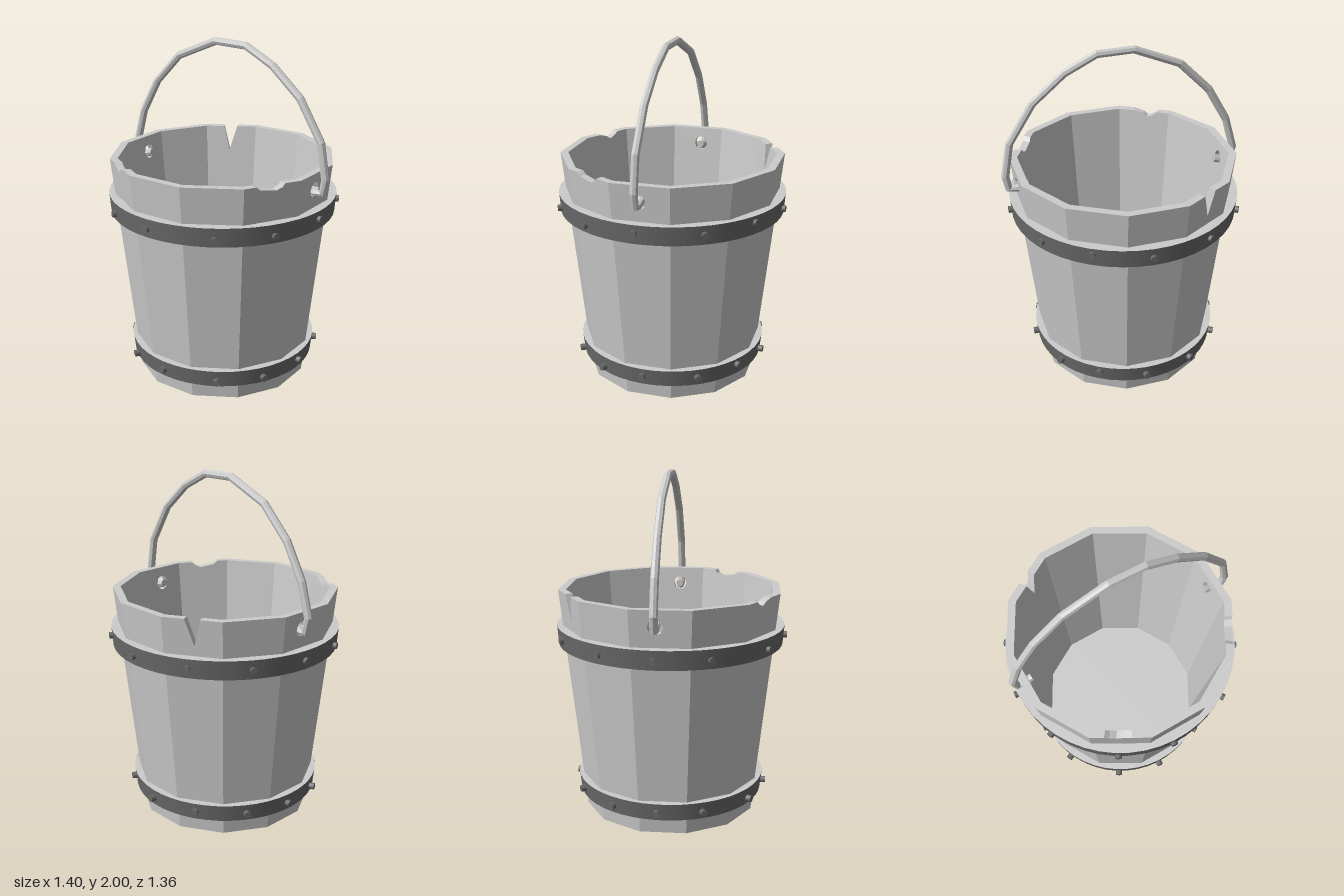
import * as THREE from 'three';

const H = 1.33, SIDES = 12, WALL = 0.045;
const wood = new THREE.MeshStandardMaterial({ color: 0xcccccc, flatShading: true });
const edge = new THREE.MeshStandardMaterial({ color: 0xcccccc });
const iron = new THREE.MeshStandardMaterial({ color: 0x6a6a6a });
const rad = THREE.MathUtils.degToRad;
const outerR = (y) => 0.511 + 0.144 * y / H;

function add(parent, name, geometry, material) {
  const mesh = new THREE.Mesh(geometry, material);
  mesh.name = name;
  parent.add(mesh);
  return mesh;
}

// Corner k of the twelve-sided wall, as a unit direction
function corner(k) {
  const a = rad(12 + 30 * k);
  return new THREE.Vector3(Math.sin(a), 0, -Math.cos(a));
}

// One flat stave: a unit shape with chips and hole, bent onto the tapered wall
function staveGeometry(k, chip = [], holeU = null) {
  const outline = [[0, 0], [1, 0], [1, 1], ...chip, [0, 1]];
  const shape = new THREE.Shape(outline.map(([u, v]) => new THREE.Vector2(u, v)));
  if (holeU !== null) {
    const hole = new THREE.Path();
    hole.absellipse(holeU, 0.928, 0.13, 0.033, 0, Math.PI * 2, true);
    shape.holes.push(hole);
  }
  const flat = new THREE.ExtrudeGeometry(shape, { depth: 1, bevelEnabled: false, curveSegments: 4 });
  const src = flat.toNonIndexed ? (flat.index ? flat.toNonIndexed() : flat) : flat;
  const p = src.attributes.position, a = corner(k), b = corner(k + 1), out = [];
  for (let i = 0; i < p.count; i += 3) {
    const us = [0, 1, 2].map((j) => p.getX(i + j));
    // Skip the joints between neighbouring staves
    if (us.every((u) => u < 1e-6) || us.every((u) => u > 1 - 1e-6)) continue;
    for (let j = i; j < i + 3; j++) {
      const y = p.getY(j) * H;
      const q = a.clone().lerp(b, p.getX(j)).multiplyScalar(outerR(y) - WALL * p.getZ(j));
      out.push(q.x, y, q.z);
    }
  }
  const g = new THREE.BufferGeometry();
  g.setAttribute('position', new THREE.Float32BufferAttribute(out, 3));
  g.computeVertexNormals();
  return g;
}

function lathe(...points) {
  return new THREE.LatheGeometry(points.map(([r, y]) => new THREE.Vector2(r, y)), 48);
}

// Straight-sided path with mitred corners at each point
class BentWire extends THREE.Curve {
  constructor(points) {
    super();
    this.points = points;
  }
  getPoint(t, target = new THREE.Vector3()) {
    const n = this.points.length - 1, s = THREE.MathUtils.clamp(t, 0, 1) * n;
    const i = Math.min(Math.floor(s), n - 1);
    return target.lerpVectors(this.points[i], this.points[i + 1], s - i);
  }
  getPointAt(t, target) { return this.getPoint(t, target); }
  getTangentAt(t, target) { return this.getTangent(t, target); }
}

export function createModel() {
  const model = new THREE.Group();
  model.name = 'bucket';
  const body = new THREE.Group();
  body.name = 'body';
  body.position.x = -0.012;
  model.add(body);

  // Staves, some chipped at the rim, two pierced for the handle
  const chips = {
    3: [[0.8, 1], [0.72, 0.985], [0.44, 0.974], [0.33, 0.985], [0.29, 1]],
    6: [[0.76, 1], [0.68, 0.985], [0.56, 0.974], [0.48, 0.988], [0.31, 1]],
    10: [[0.62, 1], [0.47, 0.885], [0.36, 1]],
  };
  const holes = { 2: 0.53, 8: 0.58 };
  for (let k = 0; k < SIDES; k++) {
    add(body, 'stave' + (k + 1), staveGeometry(k, chips[k], holes[k] ?? null), wood);
  }

  // Bottom board
  const floorH = 0.13;
  const floor = add(body, 'floor',
    new THREE.CylinderGeometry(outerR(floorH) - WALL, outerR(0) - 0.002, floorH, SIDES), wood);
  floor.position.y = floorH / 2;
  floor.rotation.y = rad(-12);

  // Hoops with a ring of rivets each
  const rivetAngles = [-1, 27, 55.5, 90, 118, 153, 180, -152, -121.5, -90, -61.5, -34];
  const lifts = [0.01, -0.01, -0.01, 0, -0.01, -0.005, 0, 0, 0.005, 0, 0.02, 0.005];
  const hoops = [
    { name: 'upperHoop', y0: 1.01, y1: 1.12, r0: 0.658, r1: 0.667, tip: 0.682 },
    { name: 'lowerHoop', y0: 0.10, y1: 0.20, r0: 0.546, r1: 0.557, tip: 0.58 },
  ];
  for (const { name, y0, y1, r0, r1, tip } of hoops) {
    const hoop = new THREE.Group();
    hoop.name = name;
    body.add(hoop);
    const inner = outerR(y0) * 0.955;
    add(hoop, 'hoopSide', lathe([r0, y0], [r1, y1]), iron);
    add(hoop, 'hoopTop', lathe([r1, y1], [inner, y1]), edge);
    add(hoop, 'hoopUnderside', lathe([inner, y0], [r0, y0]), edge);
    rivetAngles.forEach((deg, i) => {
      const rivet = add(hoop, 'rivet', new THREE.CylinderGeometry(0.02, 0.02, 0.05, 8), iron);
      const a = rad(deg), r = tip - 0.025;
      rivet.position.set(Math.cos(a) * r, (y0 + y1) / 2 - 0.003 + lifts[i], Math.sin(a) * r);
      rivet.rotation.set(0, -a, -Math.PI / 2);
    });
  }

  // Bent wire handle, hooked through the wall at both ends
  const path = [
    [-0.565, 1.235], [-0.62, 1.215], [-0.66, 1.215], [-0.68, 1.3], [-0.625, 1.49],
    [-0.51, 1.69], [-0.335, 1.865], [-0.07, 1.975], [0.14, 1.97], [0.32, 1.88],
    [0.5, 1.725], [0.64, 1.5], [0.675, 1.3], [0.66, 1.22], [0.61, 1.215], [0.545, 1.235],
  ].map(([x, y]) => new THREE.Vector3(x, y, -0.01 - 0.022 * x));
  const handle = new THREE.Group();
  handle.name = 'handle';
  model.add(handle);
  add(handle, 'wire', new THREE.TubeGeometry(new BentWire(path), path.length - 1, 0.023, 8), wood);
  for (const [end, turn] of [[path[0], 1], [path[path.length - 1], -1]]) {
    const cap = add(handle, 'wireEnd', new THREE.CircleGeometry(0.023, 8), wood);
    cap.position.copy(end);
    cap.rotation.y = turn * Math.PI / 2;
  }
  return model;
}
